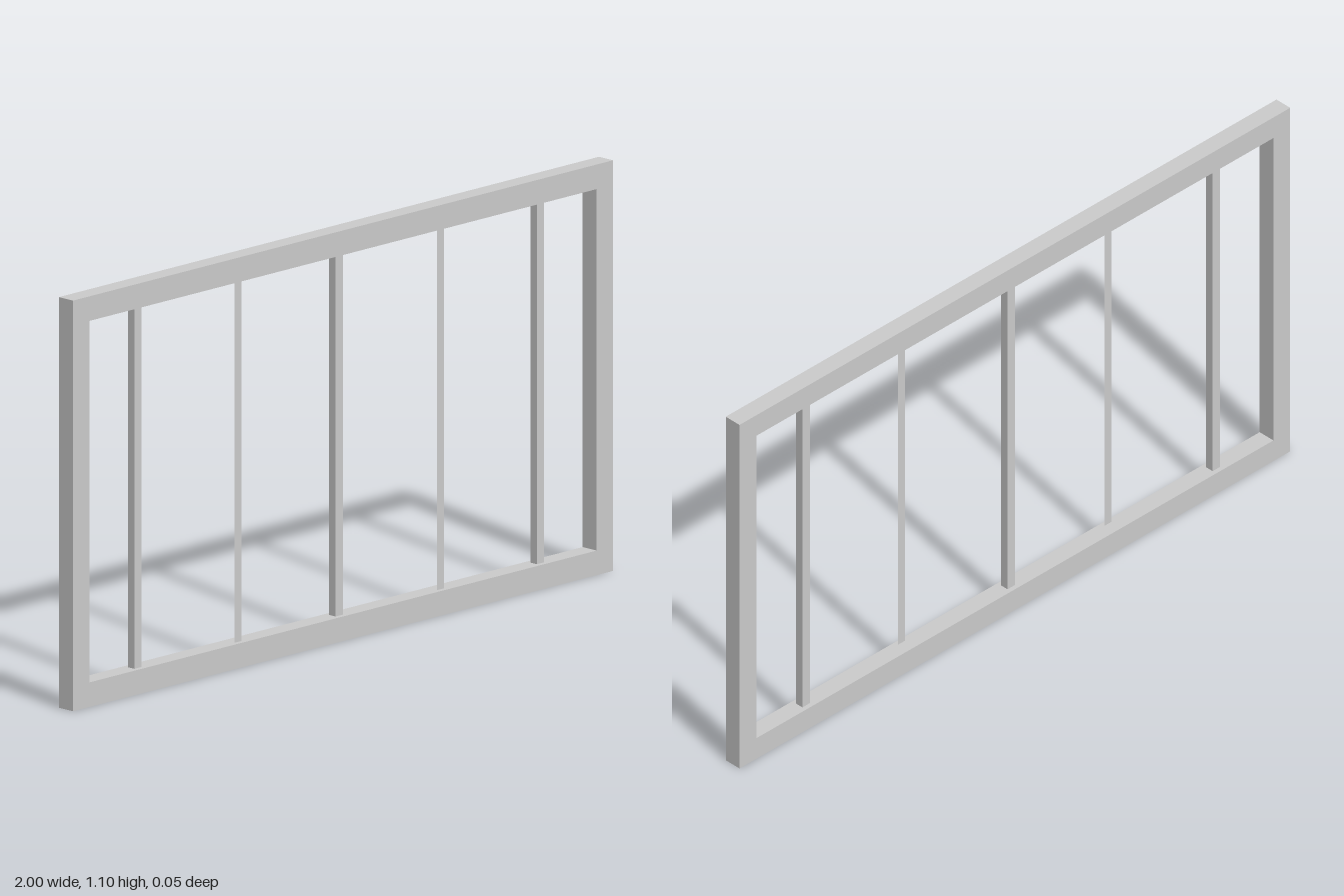
import * as THREE from 'three';

const HEIGHT = 1.102, DEPTH = 0.051;
const STILE = 0.061, RAIL = 0.066;
const BAR_WIDTH = 0.027, BAR_DEPTH = 0.024;

export function createModel() {
  const group = new THREE.Group();
  group.name = 'barredWindowFrame';
  const material = new THREE.MeshStandardMaterial({ color: 0xcccccc });
  const sheetMaterial = new THREE.MeshStandardMaterial({ color: 0xcccccc, side: THREE.DoubleSide });

  function add(name, geometry, mat, x, y, z) {
    const mesh = new THREE.Mesh(geometry, mat);
    mesh.name = name;
    mesh.position.set(x, y, z);
    group.add(mesh);
  }

  // Rectangle path for the frame outline and its opening
  function rectangle(path, x, y0, y1) {
    path.moveTo(-x, y0);
    path.lineTo(x, y0);
    path.lineTo(x, y1);
    path.lineTo(-x, y1);
    path.closePath();
    return path;
  }

  // Outer frame: one solid ring with a rectangular opening
  const outline = rectangle(new THREE.Shape(), 1, 0, HEIGHT);
  outline.holes.push(rectangle(new THREE.Path(), 1 - STILE, RAIL, HEIGHT - RAIL));
  const frame = new THREE.ExtrudeGeometry(outline, { depth: DEPTH, bevelEnabled: false });
  add('frame', frame, material, 0, 0, -DEPTH / 2);

  const barHeight = HEIGHT - 2 * RAIL;

  // Solid square bars at the middle and near both ends
  const bar = new THREE.BoxGeometry(BAR_WIDTH, barHeight, BAR_DEPTH);
  for (const x of [-0.745, 0, 0.745]) add('bar', bar, material, x, HEIGHT / 2, 0);

  // Flat strips between them, level with the front of the bars
  const strip = new THREE.PlaneGeometry(BAR_WIDTH, barHeight);
  for (const x of [-0.375, 0.375]) add('flatBar', strip, sheetMaterial, x, HEIGHT / 2, BAR_DEPTH / 2);

  return group;
}
